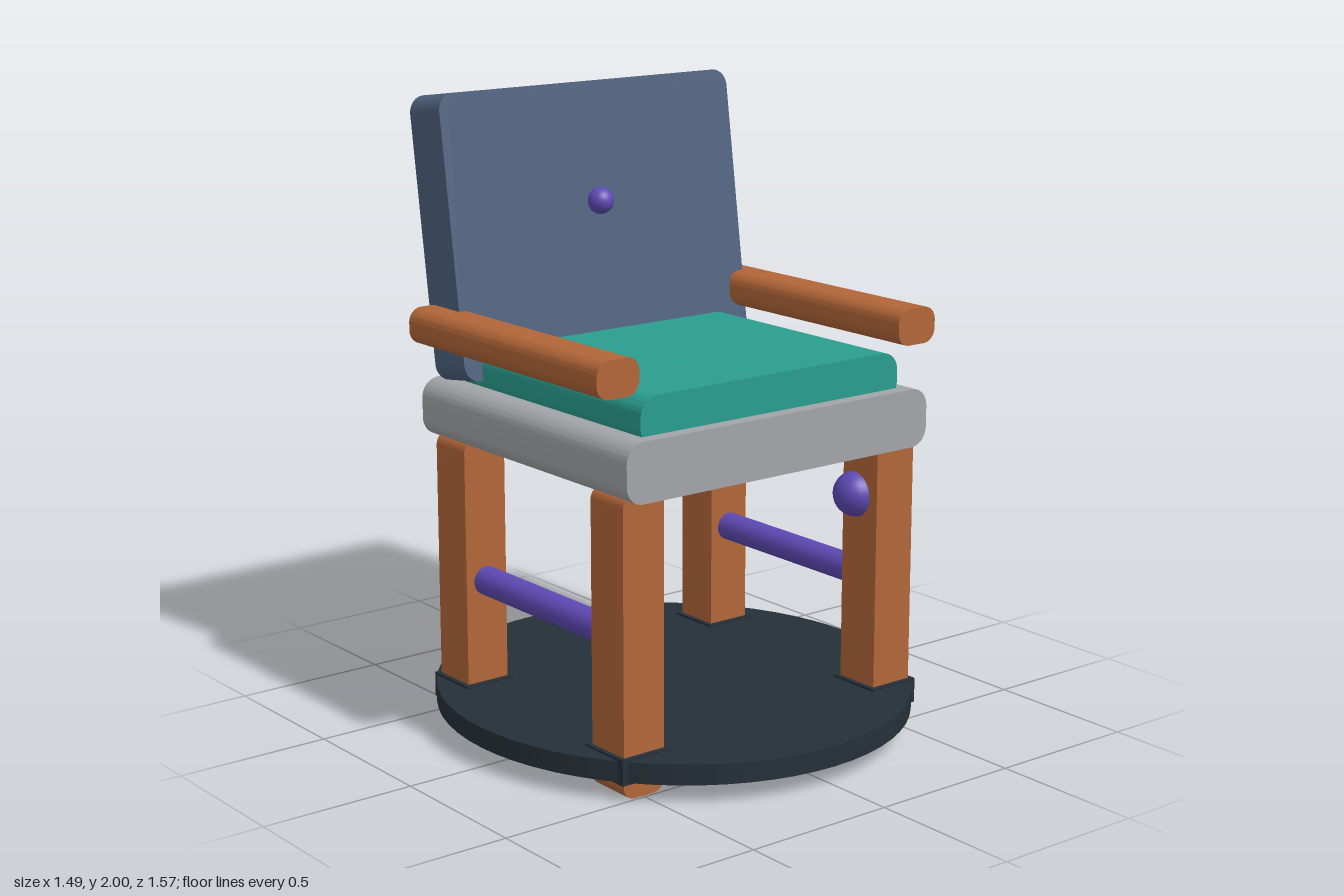
import * as THREE from 'three';
import { toCreasedNormals } from 'three/addons/utils/BufferGeometryUtils.js';

const mat = (name, color) => {
  const m = new THREE.MeshStandardMaterial({ color });
  m.name = name;
  return m;
};

// Bar with a rounded-rectangle section in XY, extruded along z and centred
function roundedBar(w, h, d, r) {
  const x = w / 2, y = h / 2;
  const s = new THREE.Shape();
  s.moveTo(-x + r, -y);
  s.lineTo(x - r, -y);
  s.absarc(x - r, -y + r, r, -Math.PI / 2, 0);
  s.lineTo(x, y - r);
  s.absarc(x - r, y - r, r, 0, Math.PI / 2);
  s.lineTo(-x + r, y);
  s.absarc(-x + r, y - r, r, Math.PI / 2, Math.PI);
  s.lineTo(-x, -y + r);
  s.absarc(-x + r, -y + r, r, Math.PI, Math.PI * 1.5);
  const g = new THREE.ExtrudeGeometry(s, { depth: d, bevelEnabled: false, curveSegments: 8 });
  g.translate(0, 0, -d / 2);
  return toCreasedNormals(g, 0.6);
}

export function createModel() {
  const group = new THREE.Group();
  const wood = mat('wood', 0xb26638);
  const slate = mat('slate blue', 0x4d617d);
  const grey = mat('grey', 0xa2a5a8);
  const teal = mat('teal', 0x2a9d8f);
  const purple = mat('purple', 0x5e49b4);
  const dark = mat('charcoal', 0x253038);

  const add = (name, geometry, material, x, y, z) => {
    const m = new THREE.Mesh(geometry, material);
    m.name = name;
    m.position.set(x, y, z);
    group.add(m);
    return m;
  };

  // Seat, cushion and reclined backrest
  add('seat', roundedBar(1.17, 0.185, 1.06, 0.06), grey, 0, 1.005, 0);
  add('cushion', roundedBar(1.0, 0.155, 0.9, 0.06), teal, 0, 1.137, 0.035);
  add('backrest', roundedBar(1.13, 0.89, 0.165, 0.055), slate, 0, 1.547, -0.456).rotation.x = -0.143;
  add('backButton', new THREE.SphereGeometry(0.043, 24, 16), purple, 0, 1.625, -0.37);

  // Oval footplate
  const plate = add('footplate', new THREE.CylinderGeometry(1, 1, 0.065, 64), dark, 0, 0.097, 0);
  plate.scale.set(0.743, 1, 0.783);

  // Armrests, legs, collars and side rails, mirrored
  const legGeo = roundedBar(0.15, 0.93, 0.155, 0.04);
  const collarGeo = new THREE.BoxGeometry(0.18, 0.08, 0.185);
  const armGeo = roundedBar(0.152, 0.115, 0.97, 0.045);
  const railGeo = new THREE.CylinderGeometry(0.046, 0.046, 0.7, 24).rotateX(Math.PI / 2);
  for (const [side, sx] of [['left', 1], ['right', -1]]) {
    add(side + 'Armrest', armGeo, wood, sx * 0.58, 1.282, 0);
    add(side + 'Rail', railGeo, purple, sx * 0.495, 0.47, 0.01);
    for (const [end, z] of [['Front', 0.413], ['Back', -0.4]]) {
      add(side + end + 'Leg', legGeo, wood, sx * 0.495, 0.468, z);
      add(side + end + 'Collar', collarGeo, dark, sx * 0.495, 0.097, z);
    }
  }

  // Knob on the inside of the left front leg
  add('legKnob', new THREE.SphereGeometry(0.073, 24, 16), purple, 0.428, 0.75, 0.385);

  return group;
}
